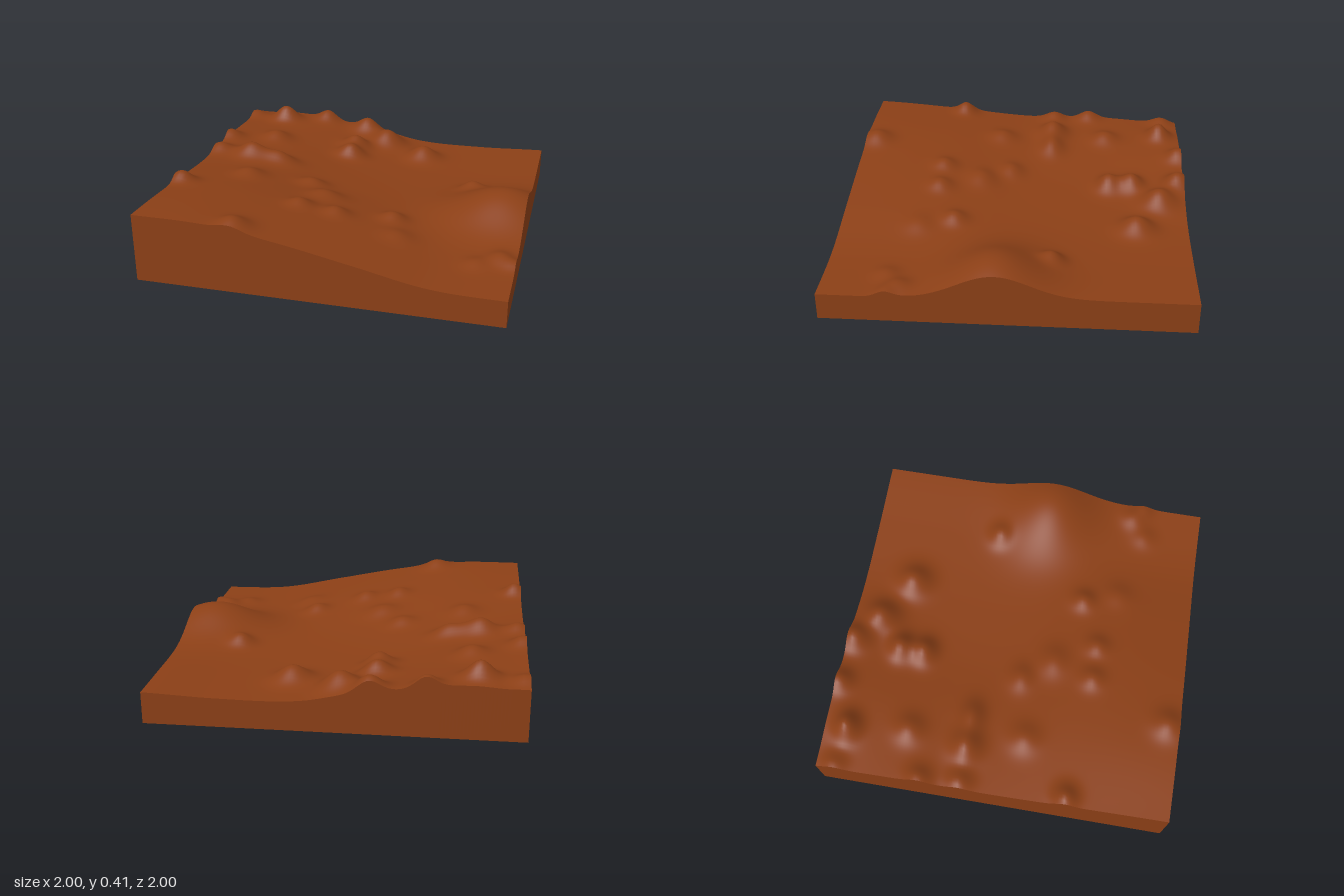
import * as THREE from 'three';

// Broad ground heights: rows run z = -1..1, columns run x = -1..1
const GROUND = [
  [0.28, 0.29, 0.23, 0.165, 0.16, 0.175],
  [0.31, 0.27, 0.20, 0.165, 0.16, 0.175],
  [0.31, 0.285, 0.225, 0.185, 0.16, 0.17],
  [0.355, 0.345, 0.30, 0.235, 0.16, 0.152],
  [0.39, 0.383, 0.325, 0.245, 0.165, 0.15],
];

// Mounds: x, z, height, radius in x, radius in z
const MOUNDS = [
  [0.85, 0.07, 0.165, 0.22, 0.19], // long hill on the right edge
  [-0.75, -0.87, 0.095, 0.06, 0.05],
  [-0.98, -0.9, 0.04, 0.05, 0.05],
  [-0.48, -0.98, 0.06, 0.05, 0.05],
  [-0.19, -0.96, 0.085, 0.06, 0.06],
  [-0.02, -0.84, 0.09, 0.07, 0.07],
  [-0.2, -0.68, 0.08, 0.06, 0.05],
  [-0.2, -0.54, 0.08, 0.06, 0.05],
  [0.25, -0.7, 0.085, 0.07, 0.07],
  [-0.7, -0.52, 0.05, 0.06, 0.06],
  [-0.98, -0.41, 0.05, 0.05, 0.05],
  [-0.96, -0.18, 0.05, 0.05, 0.05],
  [-0.75, -0.18, 0.085, 0.07, 0.06],
  [-0.57, -0.18, 0.06, 0.07, 0.05],
  [-0.65, 0.14, 0.04, 0.06, 0.06],
  [-0.28, 0.06, 0.04, 0.06, 0.05],
  [-0.15, 0.23, 0.04, 0.07, 0.06],
  [-0.96, 0.42, 0.065, 0.05, 0.045],
  [-0.45, 0.93, 0.05, 0.06, 0.06],
  [-0.23, 0.47, 0.04, 0.05, 0.05],
  [-0.02, 0.47, 0.04, 0.05, 0.05],
  [0.28, 0.35, 0.045, 0.05, 0.05],
  [0.35, 0.55, 0.025, 0.06, 0.06],
  [0.64, -0.23, 0.05, 0.05, 0.045],
  [0.91, 0.58, 0.035, 0.05, 0.05],
  [0.79, 0.66, 0.025, 0.05, 0.05],
  [0.99, 0.64, 0.03, 0.05, 0.04],
];

// Smooth curve through evenly spaced values, t = 0..1
function smooth(values, t) {
  const last = values.length - 1;
  const i = Math.min(Math.floor(t * last), last - 1);
  const f = t * last - i;
  const [a, b, c, d] = [-1, 0, 1, 2].map((k) => values[THREE.MathUtils.clamp(i + k, 0, last)]);
  return b + 0.5 * f * (c - a + f * (2 * a - 5 * b + 4 * c - d + f * (3 * (b - c) + d - a)));
}

function heightAt(x, z) {
  let h = smooth(GROUND.map((row) => smooth(row, (x + 1) / 2)), (z + 1) / 2);
  for (const [mx, mz, height, rx, rz] of MOUNDS) {
    h += height * Math.exp(-0.5 * (((x - mx) / rx) ** 2 + ((z - mz) / rz) ** 2));
  }
  return h;
}

export function createModel() {
  const model = new THREE.Group();
  model.name = 'terrainModel';

  // Solid block whose upper face and wall tops follow the landscape
  const geometry = new THREE.BoxGeometry(2, 1, 2, 110, 1, 110);
  const pos = geometry.attributes.position;
  for (let i = 0; i < pos.count; i++) {
    pos.setY(i, pos.getY(i) > 0 ? heightAt(pos.getX(i), pos.getZ(i)) : 0);
  }
  geometry.computeVertexNormals();

  const terrain = new THREE.Mesh(geometry, new THREE.MeshStandardMaterial({ color: 0x8b3f16 }));
  terrain.name = 'terrainBlock';
  model.add(terrain);
  return model;
}
